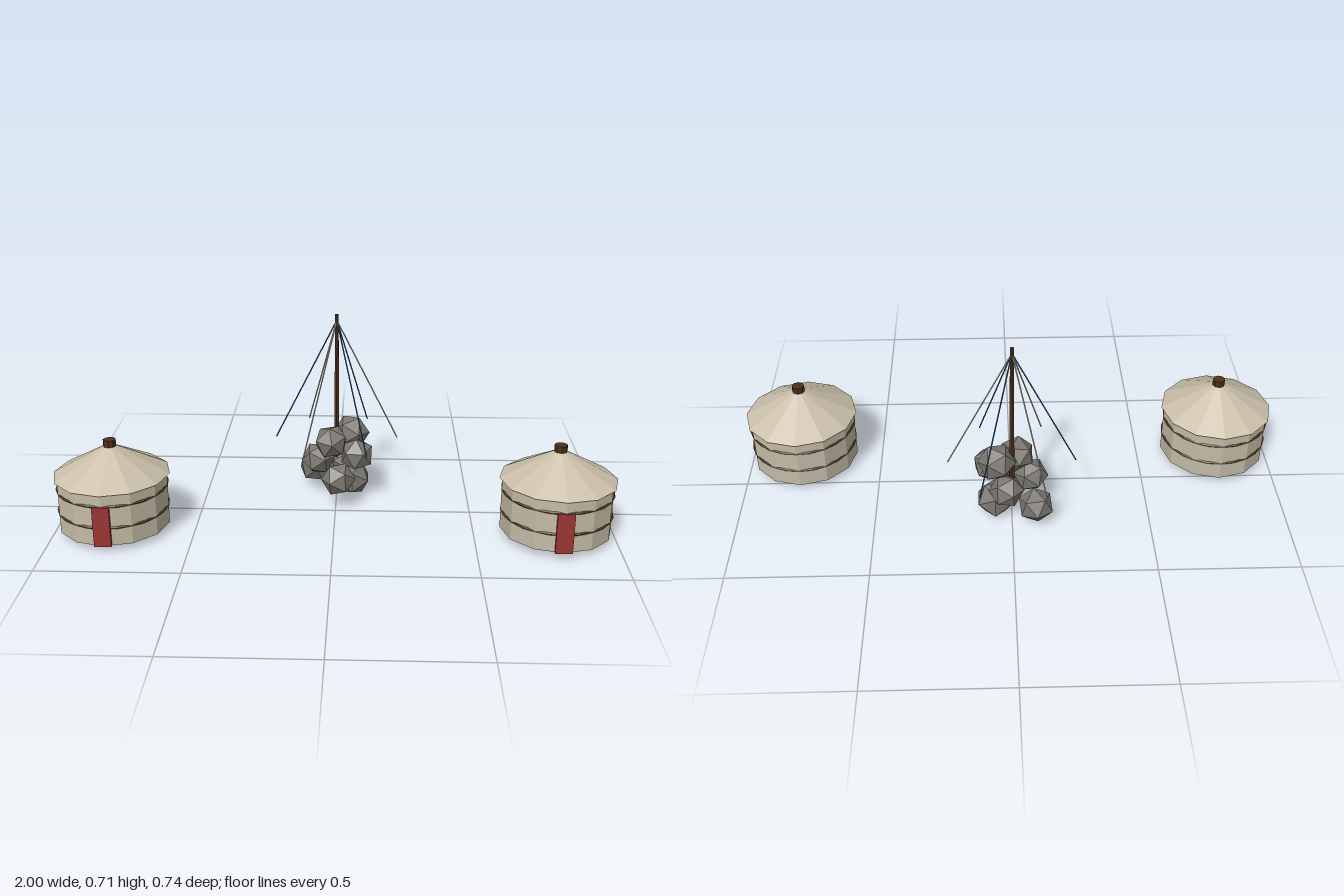
import * as THREE from 'three';

const mat = (name, color) => {
  const m = new THREE.MeshStandardMaterial({ color });
  m.name = name;
  return m;
};

// Faceted mesh: every triangle gets its own normal
function part(name, geometry, material, x = 0, y = 0, z = 0) {
  const g = geometry.index ? geometry.toNonIndexed() : geometry;
  g.computeVertexNormals();
  const mesh = new THREE.Mesh(g, material);
  mesh.name = name;
  mesh.position.set(x, y, z);
  return mesh;
}

export function createModel() {
  const felt = mat('wall felt', 0xc4bba6);
  const roofFelt = mat('roof felt', 0xcabfaa);
  const wood = mat('dark wood', 0x4f301a);
  const cord = mat('brown cord', 0x543619);
  const red = mat('door red', 0x9c3535);
  const stone = mat('stone grey', 0x7b7870);
  const blue = mat('ribbon blue', 0x2c66a0);
  const white = mat('ribbon white', 0xd8d0c0);

  const model = new THREE.Group();
  model.name = 'tentCamp';

  // Two round felt tents
  for (const side of [-1, 1]) {
    const tent = new THREE.Group();
    tent.name = side < 0 ? 'rightTent' : 'leftTent';
    tent.position.set(side * 0.792, 0, 0.16);
    tent.add(part('wall', new THREE.CylinderGeometry(0.198, 0.198, 0.192, 12), felt, 0, 0.129, 0));
    tent.add(part('roof', new THREE.ConeGeometry(0.208, 0.115, 12), roofFelt, 0, 0.2825, 0));
    tent.add(part('crown', new THREE.CylinderGeometry(0.023, 0.023, 0.024, 8), wood, 0, 0.34, 0));
    tent.add(part('door', new THREE.BoxGeometry(0.06, 0.148, 0.012), red, 0, 0.107, 0.198));
    for (const y of [0.1, 0.18]) {
      const band = new THREE.TorusGeometry(0.194, 0.005, 4, 24).rotateX(Math.PI / 2);
      tent.add(part('wallCord', band, cord, 0, y, 0));
    }
    model.add(tent);
  }

  // Stone cairn with a pole and ribbons
  const cairn = new THREE.Group();
  cairn.name = 'cairn';
  cairn.position.z = -0.17;
  model.add(cairn);

  // x, y, z, radius of each stone
  const stones = [
    [0.06, 0.072, -0.005, 0.072], [-0.085, 0.092, -0.07, 0.066], [0.02, 0.128, -0.03, 0.064],
    [0.055, 0.252, -0.02, 0.07], [0.077, 0.19, 0.05, 0.066], [-0.02, 0.238, 0.045, 0.066],
    [0.01, 0.125, 0.137, 0.065], [-0.07, 0.16, 0.02, 0.064],
  ];
  stones.forEach(([x, y, z, r], i) => {
    const s = part('stone', new THREE.IcosahedronGeometry(r, 0), stone, x, y, z);
    s.rotation.set(i * 1.3, i * 2.1, i * 0.7);
    cairn.add(s);
  });

  cairn.add(part('pole', new THREE.CylinderGeometry(0.0075, 0.011, 0.622, 6), wood, 0, 0.411, 0));

  // Six ribbons fanning out from the pole top, alternating colours
  const top = new THREE.Vector3(0, 0.7, 0);
  for (let i = 0; i < 6; i++) {
    const a = (i * Math.PI) / 3;
    const end = new THREE.Vector3(Math.cos(a) * 0.23, 0.24, Math.sin(a) * 0.23);
    const dir = top.clone().sub(end);
    const ribbon = part('ribbon', new THREE.CylinderGeometry(0.0025, 0.0025, dir.length(), 4), i % 2 ? blue : white);
    ribbon.position.copy(top).add(end).multiplyScalar(0.5);
    ribbon.quaternion.setFromUnitVectors(new THREE.Vector3(0, 1, 0), dir.normalize());
    cairn.add(ribbon);
  }
  return model;
}
